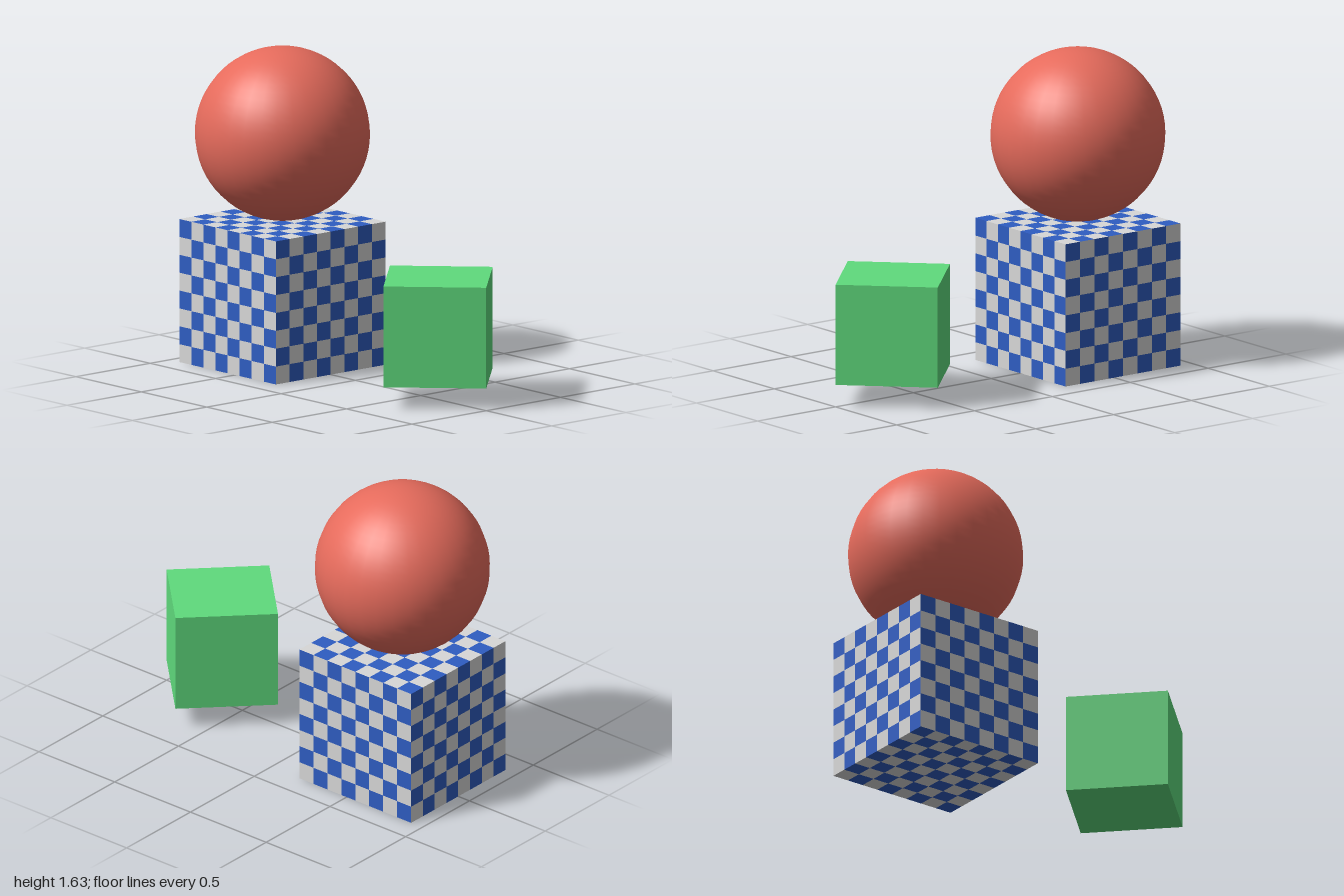
import * as THREE from 'three';

const material = (name, color) => {
  const m = new THREE.MeshStandardMaterial({ color });
  m.name = name;
  return m;
};

export function createModel() {
  const red = material('coral red', 0xe66b5c);
  const green = material('leaf green', 0x5fdb7d);
  const blue = material('checker blue', 0x2f5dc2);
  const grey = material('checker grey', 0xd8d8d8);

  const model = new THREE.Group();
  model.name = 'shapes';
  const add = (name, geometry, mat, x, y) => {
    const mesh = new THREE.Mesh(geometry, mat);
    mesh.name = name;
    mesh.position.set(x, y, 0);
    model.add(mesh);
    return mesh;
  };

  // Checkered cube: 8 x 8 cells on each face, blue in the upper left corner
  const n = 8;
  const checker = new THREE.BoxGeometry(0.738, 0.738, 0.738, n, n, n);
  checker.clearGroups();
  for (let cell = 0; cell < 6 * n * n; cell++) {
    const row = Math.floor(cell / n) % n;
    const column = cell % n;
    checker.addGroup(cell * 6, 6, (row + column) % 2);
  }
  add('checkeredCube', checker, [blue, grey], -0.557, 0.369);

  // Ball resting on the checkered cube
  add('ball', new THREE.SphereGeometry(0.443, 32, 32), red, -0.557, 1.188);

  // Floating cube turned by 45 degrees
  const cube = add('turnedCube', new THREE.BoxGeometry(0.52, 0.52, 0.52), green, 0.632, 0.374);
  cube.rotation.y = Math.PI / 4;

  return model;
}
